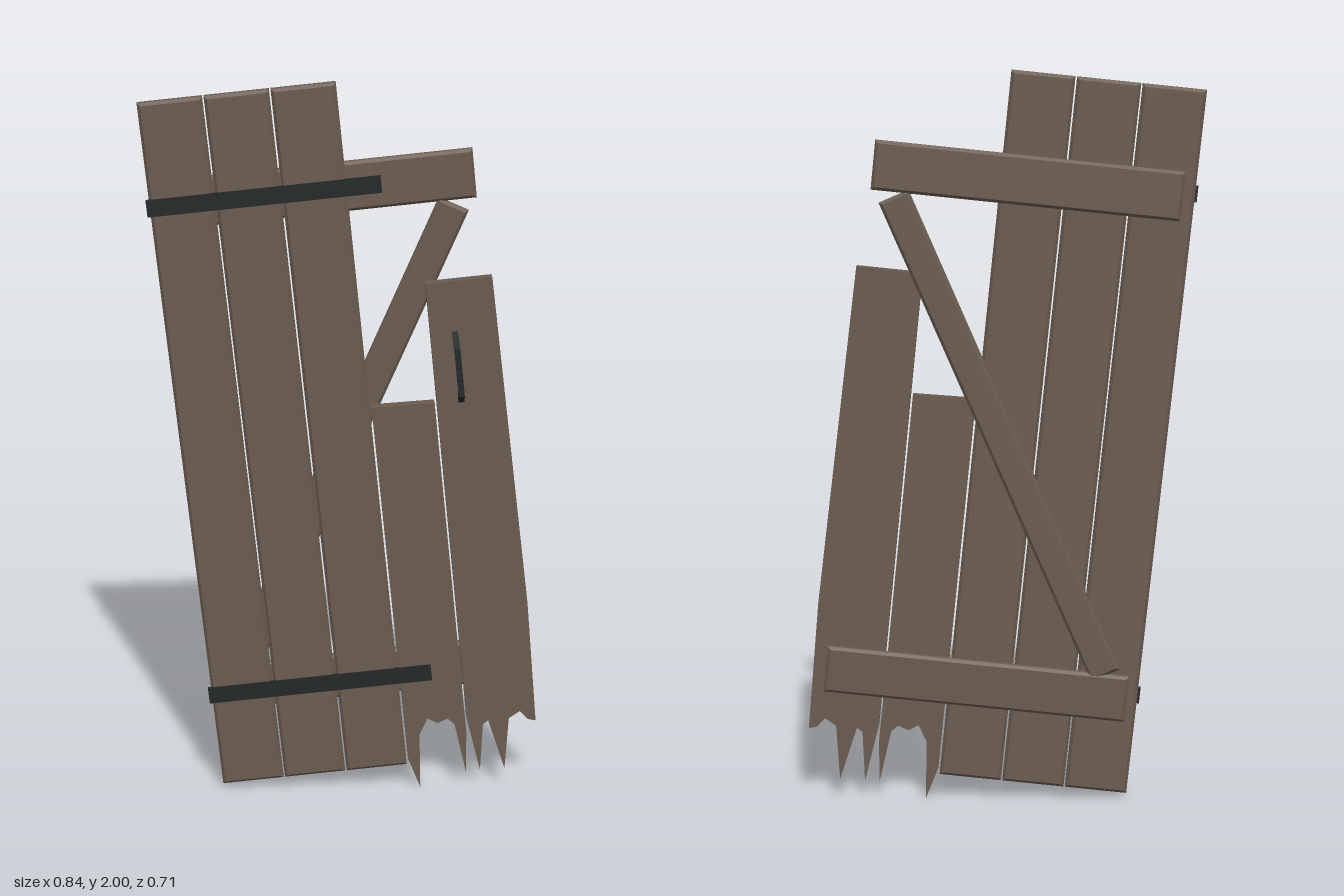
import * as THREE from 'three';

export function createModel() {
  const wood = new THREE.MeshStandardMaterial({ color: 0x6a5b50 });
  wood.name = 'weathered wood';
  const iron = new THREE.MeshStandardMaterial({ color: 0x232727 });
  iron.name = 'dark iron';

  // The door is built flat: x across, y along the boards, z out of the front.
  const door = new THREE.Group();
  door.name = 'brokenDoor';

  const add = (name, geometry, material) => {
    const mesh = new THREE.Mesh(geometry, material);
    mesh.name = name;
    door.add(mesh);
    return mesh;
  };

  // Slab from an outline, with optional chamfered edges, between two depths
  const slab = (points, z0, z1, bevel = 0) => {
    const shape = new THREE.Shape(points.map(([x, y]) => new THREE.Vector2(x, y)));
    const g = new THREE.ExtrudeGeometry(shape, {
      depth: z1 - z0 - 2 * bevel,
      bevelEnabled: bevel > 0,
      bevelThickness: bevel,
      bevelSize: bevel,
      bevelOffset: -bevel,
      bevelSegments: 1,
    });
    return g.translate(0, 0, z0 + bevel);
  };
  const rect = (x0, x1, y0, y1) => [[x0, y0], [x1, y0], [x1, y1], [x0, y1]];

  const BACK = -0.02, FRONT = 0.014;

  // Three whole boards
  for (let i = 0; i < 3; i++) {
    const x = -0.328 + i * 0.1745;
    add('board' + (i + 1), slab(rect(x, x + 0.17, 0.05, 1.99), BACK, FRONT, 0.008), wood);
  }

  // Two snapped boards with splintered lower ends
  add('shortBrokenBoard', slab([
    [0.196, 1.105], [0.196, 0.07], [0.222, -0.022], [0.235, 0.14], [0.262, 0.185],
    [0.288, 0.168], [0.318, 0.178], [0.335, 0.16], [0.354, 0.012], [0.366, 0.13], [0.366, 1.1],
  ], BACK, FRONT), wood);
  add('tallBrokenBoard', slab([
    [0.372, 1.43], [0.371, 0.17], [0.394, 0.012], [0.414, 0.15], [0.43, 0.16],
    [0.463, 0.01], [0.488, 0.16], [0.52, 0.178], [0.54, 0.152], [0.562, 0.145],
    [0.568, 0.5], [0.55, 1.43],
  ], BACK, FRONT), wood);

  // Cross battens on the back
  add('topBatten', slab(rect(-0.295, 0.53, 1.64, 1.772), -0.05, BACK, 0.008), wood);
  add('bottomBatten', slab(rect(-0.298, 0.53, 0.26, 0.388), -0.05, BACK, 0.008), wood);

  // Diagonal brace between the battens
  const top = new THREE.Vector2(0.468, 1.628), foot = new THREE.Vector2(-0.232, 0.385);
  const half = top.distanceTo(foot) / 2;
  const brace = add('diagonalBrace', slab(rect(-0.043, 0.043, -half, half), -0.048, BACK, 0.008), wood);
  brace.position.set((top.x + foot.x) / 2, (top.y + foot.y) / 2, 0);
  brace.rotation.z = -Math.atan2(top.x - foot.x, top.y - foot.y);

  // Iron hinge straps on the front
  add('topStrap', slab(rect(-0.336, 0.282, 1.69, 1.735), FRONT - 0.004, 0.022), iron);
  add('bottomStrap', slab(rect(-0.336, 0.285, 0.302, 0.347), FRONT - 0.004, 0.022), iron);

  // Pull handle: a bar on two slanted legs
  const path = [[1.287, 0.01], [1.255, 0.062], [1.13, 0.062], [1.1, 0.01]]
    .map(([y, z]) => new THREE.Vector3(0.438, y, z));
  for (let i = 0; i < 3; i++) {
    const a = path[i], b = path[i + 1];
    const rod = add(i === 1 ? 'handleBar' : 'handleLeg',
      new THREE.BoxGeometry(0.016, 0.014, a.distanceTo(b) + 0.008), iron);
    rod.position.copy(a).add(b).multiplyScalar(0.5);
    rod.rotation.x = -Math.atan2(b.y - a.y, b.z - a.z);
  }

  // Lean the door sideways and turn it ajar
  door.rotation.set(0, THREE.MathUtils.degToRad(-40.2), THREE.MathUtils.degToRad(5.85));
  const model = new THREE.Group();
  model.name = 'model';
  model.add(door);
  return model;
}
